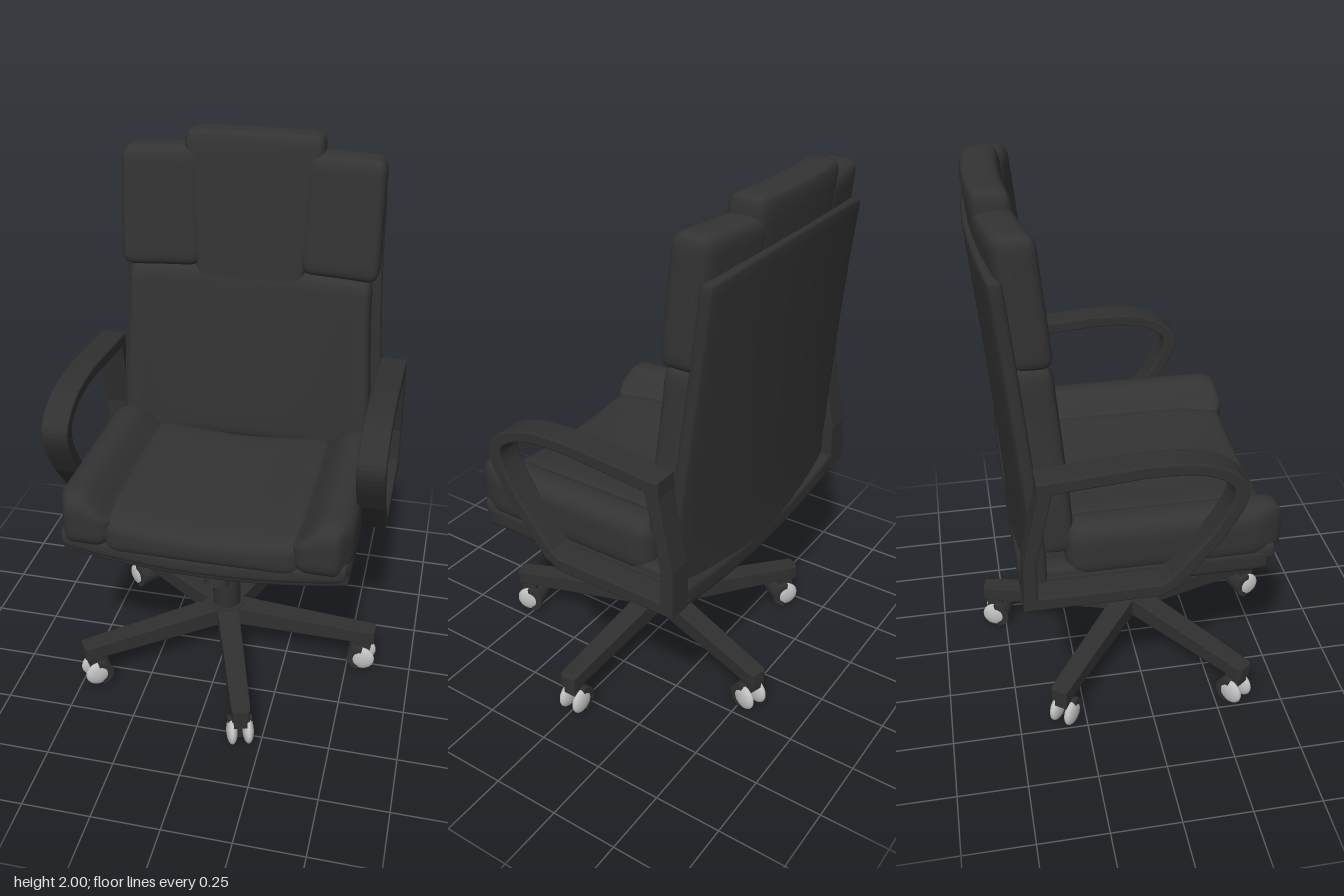
import * as THREE from 'three';
import { mergeVertices } from 'three/addons/utils/BufferGeometryUtils.js';

const mat = (name, color) => {
  const m = new THREE.MeshStandardMaterial({ color });
  m.name = name;
  return m;
};

export function createModel() {
  const leather = mat('black leather', 0x333333);
  const plastic = mat('black plastic', 0x303030);
  const grey = mat('light grey', 0xc0c0c0);
  const model = new THREE.Group();

  const add = (name, geo, material, parent = model) => {
    const mesh = new THREE.Mesh(geo, material);
    mesh.name = name;
    parent.add(mesh);
    return mesh;
  };

  // Rounded block between two corners, then moved by an optional rule
  const pad = (min, max, r, warp) => {
    const n = 16;
    const lo = new THREE.Vector3(...min), hi = new THREE.Vector3(...max);
    const mid = lo.clone().add(hi).multiplyScalar(0.5);
    const half = hi.clone().sub(lo).multiplyScalar(0.5);
    const radius = Math.min(r, half.x, half.y, half.z);
    const inner = half.clone().subScalar(radius);
    let g = new THREE.BoxGeometry(2, 2, 2, n, n, n);
    g.deleteAttribute('uv');
    g.deleteAttribute('normal');
    g = mergeVertices(g);
    const p = g.attributes.position;
    const v = new THREE.Vector3(), c = new THREE.Vector3();
    for (let i = 0; i < p.count; i++) {
      v.fromBufferAttribute(p, i);
      for (const k of ['x', 'y', 'z']) v[k] = Math.sin(v[k] * Math.PI / 2) * half[k];
      c.copy(v).clamp(inner.clone().negate(), inner);
      v.sub(c).setLength(radius).add(c).add(mid);
      if (warp) warp(v);
      p.setXYZ(i, v.x, v.y, v.z);
    }
    g.computeVertexNormals();
    return g;
  };

  const smooth = THREE.MathUtils.smoothstep;
  // Rear line of the leaning backrest at height y
  const rear = (y) => -0.47 - 0.09 * Math.pow(Math.max(0, (y - 0.75) / 1.09), 1.2);
  const cradle = (v) => { v.y += 0.05 * (v.x / 0.52) ** 2; };

  // Backrest shell
  add('backShell', pad([-0.53, 0.61, 0], [0.53, 1.84, 0.05], 0.02, (v) => {
    const t = (v.y - 0.61) / 1.23;
    const s = (v.x / 0.53) ** 2;
    v.z += rear(v.y) + 0.045 * s;
    v.y += s * (0.05 * (1 - t) - 0.04 * t);
    v.x *= 1 - 0.075 * smooth(t, 0.1, 0.9);
  }), plastic);

  // Backrest cushions: sides come forward around the sitter
  const lean = (v) => {
    v.z += rear(v.y) + 0.085 + 0.05 * Math.min(1.1, (v.x / 0.47) ** 2);
  };
  add('lowerBackCushion', pad([-0.49, 0.79, -0.07], [0.49, 1.495, 0.07], 0.045, (v) => {
    lean(v);
    v.x *= 1 - 0.05 * smooth(v.y, 0.9, 1.45);
  }), leather);
  add('headrest', pad([-0.26, 0.95, -0.065], [0.26, 2, 0.068], 0.04, (v) => {
    v.x *= 0.78 + 0.22 * smooth(v.y, 1.35, 1.95);
    lean(v);
  }), leather);
  for (const side of [-1, 1]) {
    const [a, b] = side < 0 ? [-0.49, -0.19] : [0.19, 0.49];
    add('backWing', pad([a, 1.49, -0.065], [b, 1.94, 0.075], 0.045, lean), leather);
  }

  // Seat
  add('seatShell', pad([-0.525, 0.61, -0.47], [0.525, 0.69, 0.4], 0.02, cradle), plastic);
  add('seatBase', pad([-0.52, 0.64, -0.43], [0.52, 0.72, 0.43], 0.03, cradle), leather);
  add('rearFiller', pad([-0.45, 0.68, -0.44], [0.45, 0.8, -0.28], 0.03), leather);
  add('seatCushion', pad([-0.36, 0.685, -0.325], [0.36, 0.81, 0.44], 0.055, (v) => {
    if (v.y > 0.75) v.y += 0.03 * (v.x / 0.36) ** 2 + 0.02 * smooth(0.4 - v.z, 0, 0.15);
  }), leather);
  for (const side of [-1, 1]) {
    const [a, b] = side < 0 ? [-0.53, -0.32] : [0.32, 0.53];
    add('seatBolster', pad([a, 0.705, -0.31], [b, 0.92, 0.45], 0.065, (v) => {
      const x = Math.abs(v.x);
      if (v.y > 0.8) v.y -= (v.y - 0.8) * 0.7 * (1 - smooth(x, 0.32, 0.44));
      v.z -= 0.05 * smooth(x, 0.48, 0.53) * smooth(v.z, 0.2, 0.45);
    }), leather);
  }

  // Armrests: flat loops with an opening
  const loop = new THREE.Shape();
  loop.moveTo(-0.47, 0.67);
  loop.lineTo(0.0, 0.67);
  loop.lineTo(0.06, 0.7);
  loop.lineTo(0.2, 0.87);
  loop.bezierCurveTo(0.27, 0.98, 0.32, 1.06, 0.27, 1.11);
  loop.bezierCurveTo(0.2, 1.19, 0.08, 1.2, -0.08, 1.195);
  loop.lineTo(-0.41, 1.17);
  loop.lineTo(-0.41, 1.11);
  loop.lineTo(-0.465, 0.85);
  const hole = new THREE.Path();
  hole.moveTo(-0.42, 0.72);
  hole.lineTo(-0.42, 0.85);
  hole.lineTo(-0.36, 1.125);
  hole.lineTo(-0.06, 1.15);
  hole.bezierCurveTo(0.08, 1.155, 0.17, 1.145, 0.225, 1.09);
  hole.bezierCurveTo(0.26, 1.05, 0.21, 0.97, 0.16, 0.895);
  hole.lineTo(0.03, 0.74);
  hole.lineTo(0.0, 0.72);
  loop.holes.push(hole);
  for (const x of [0.515, -0.615]) {
    const g = new THREE.ExtrudeGeometry(loop, {
      depth: 0.084, bevelThickness: 0.008, bevelSize: 0.006, bevelOffset: -0.006,
      bevelSegments: 2, curveSegments: 10,
    });
    g.rotateY(-Math.PI / 2).translate(x + 0.092, 0, 0);
    add('armrest', g, plastic);
  }

  // Tilt mechanism under the seat
  add('mountPlate', pad([-0.17, 0.59, -0.21], [0.17, 0.625, 0.26], 0.01), plastic);
  add('mechanism', pad([-0.085, 0.565, -0.12], [0.085, 0.6, 0.19], 0.012), plastic);
  const knob = new THREE.Group();
  knob.name = 'tensionKnob';
  knob.position.set(0, 0.58, 0.135);
  knob.rotation.x = -0.27;
  model.add(knob);
  add('knobShaft', new THREE.CylinderGeometry(0.034, 0.034, 0.08, 20), grey, knob).position.y = -0.03;
  add('knobGrip', new THREE.CylinderGeometry(0.045, 0.048, 0.095, 20), plastic, knob).position.y = -0.107;
  const leverPath = new THREE.CatmullRomCurve3([[-0.03, 0.57], [-0.09, 0.545], [-0.17, 0.505]]
    .map(([x, y]) => new THREE.Vector3(x, y, -0.09)));
  add('lever', new THREE.TubeGeometry(leverPath, 12, 0.009, 8), plastic);
  const paddle = add('leverPaddle', pad([-0.04, -0.006, -0.022], [0.04, 0.006, 0.022], 0.006), plastic);
  paddle.position.set(-0.195, 0.482, -0.09);
  paddle.rotation.z = 0.75;

  // Gas column
  const column = [[0, 0.13], [0.055, 0.14], [0.055, 0.39], [0.041, 0.392], [0.041, 0.48],
    [0.026, 0.482], [0.026, 0.58], [0, 0.58]];
  for (let i = 1; i < column.length - 1; i += 2) {
    const [r, y0] = column[i], y1 = column[i + 1][1];
    add('columnStage', new THREE.CylinderGeometry(r, r, y1 - y0, 24), plastic).position.y = (y0 + y1) / 2;
  }
  add('hub', new THREE.CylinderGeometry(0.07, 0.075, 0.08, 20), plastic).position.y = 0.18;

  // Five legs with twin-wheel casters
  const legGeo = pad([0, -0.5, -0.04], [0.605, 0.5, 0.04], 0.015, (v) => {
    const t = v.x / 0.605;
    const bottom = 0.14 - 0.015 * t, top = 0.22 - 0.04 * t;
    v.y = bottom + (v.y + 0.5) * (top - bottom);
    v.z *= 1.1 - 0.25 * t;
  });
  const hoodShape = new THREE.Shape();
  hoodShape.absarc(0, 0, 0.052, Math.PI * 0.45, Math.PI * 1.45, false);
  const hoodGeo = new THREE.ExtrudeGeometry(hoodShape, { depth: 0.09, bevelEnabled: false, curveSegments: 16 });
  hoodGeo.translate(0, 0, -0.045);
  const wheelGeo = new THREE.SphereGeometry(0.05, 20, 14).scale(1, 1, 0.42);
  for (let i = 0; i < 5; i++) {
    const spoke = new THREE.Group();
    spoke.name = 'spoke';
    spoke.rotation.y = i * Math.PI * 2 / 5;
    model.add(spoke);
    add('leg', legGeo, plastic, spoke);
    add('casterStem', new THREE.BoxGeometry(0.06, 0.05, 0.05), plastic, spoke).position.set(0.56, 0.11, 0);
    add('casterHood', hoodGeo, plastic, spoke).position.set(0.553, 0.052, 0);
    for (const z of [-0.03, 0.03]) {
      add('casterWheel', wheelGeo, grey, spoke).position.set(0.56, 0.05, z);
    }
  }
  return model;
}
